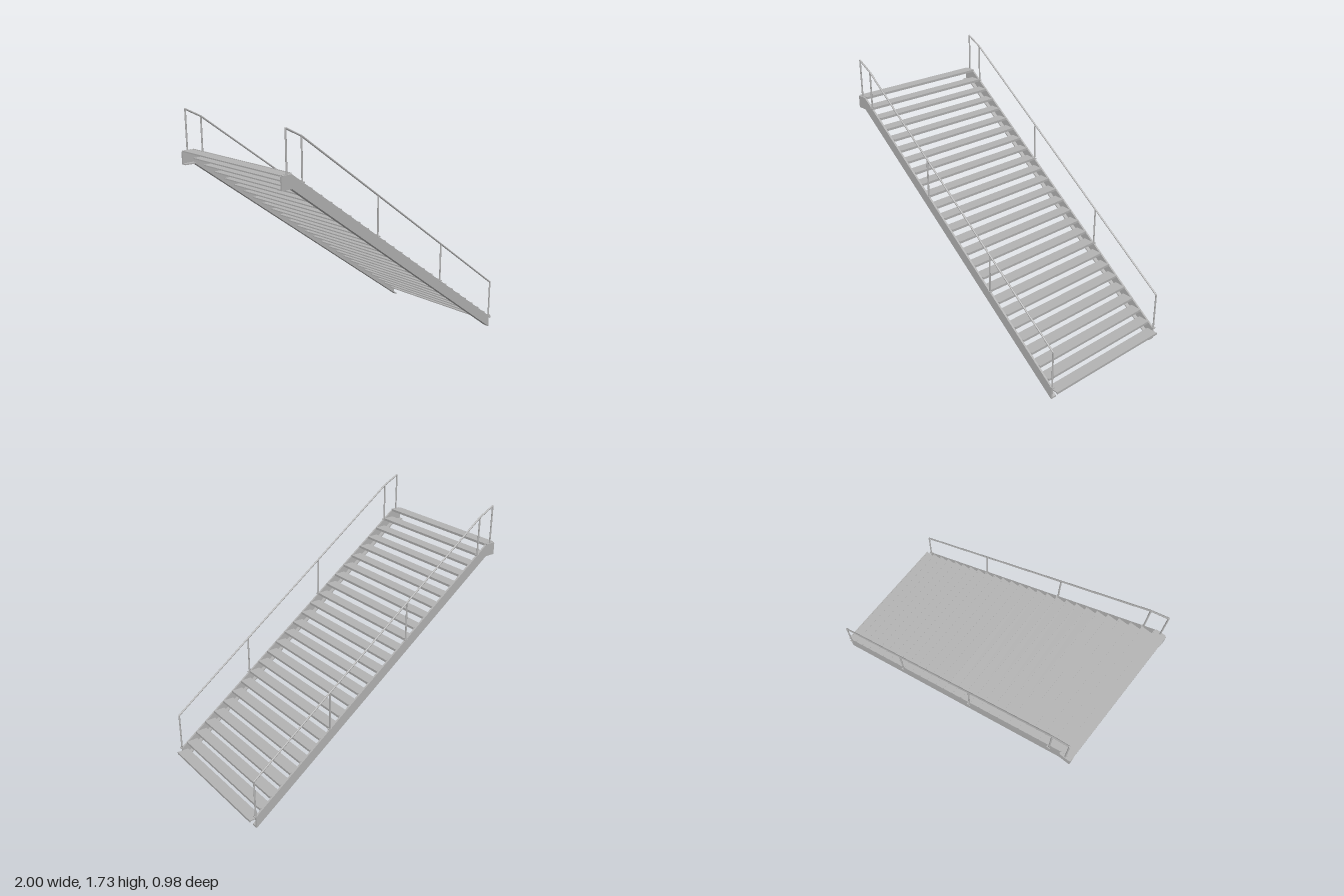
import * as THREE from 'three';

const STEPS = 26, RISE = 0.056, RUN = 0.0767;

export function createModel() {
  const group = new THREE.Group();
  group.name = 'staircase';
  const steel = new THREE.MeshStandardMaterial({ color: 0xb3b3b3 });
  steel.name = 'grey steel';

  const add = (geometry, name, parent = group) => {
    const mesh = new THREE.Mesh(geometry, steel);
    mesh.name = name;
    parent.add(mesh);
    return mesh;
  };

  // Extrude an outline in x and y from z0 to z1
  const plate = (points, z0, z1) => {
    const shape = new THREE.Shape(points.map(([x, y]) => new THREE.Vector2(x, y)));
    return new THREE.ExtrudeGeometry(shape, { depth: z1 - z0, bevelEnabled: false }).translate(0, 0, z0);
  };

  // Round bar between two points
  const bar = (a, b, r, name, parent) => {
    const dir = b.clone().sub(a);
    const mesh = add(new THREE.CylinderGeometry(r, r, dir.length(), 12), name, parent);
    mesh.position.copy(a).add(b).multiplyScalar(0.5);
    mesh.quaternion.setFromUnitVectors(new THREE.Vector3(0, 1, 0), dir.normalize());
  };

  // Open treads with a folded nosing, origin at the nosing edge
  const treadShape = [
    [-0.0825, 0.06], [-0.008, 0.06], [-0.008, 0.054], [0, 0.054],
    [0, 0.07], [-0.008, 0.07], [-0.008, 0.068], [-0.0825, 0.068],
  ];
  const treadGeometry = plate(treadShape, -0.474, 0.474);
  for (let i = 0; i < STEPS; i++) {
    add(treadGeometry, 'tread').position.set(1 - i * RUN, i * RISE, 0);
  }

  // Stringer outlines: upright web and the inward flange along its lower edge
  const web = [[0.96, 0], [0.96, 0.085], [-0.92, 1.46], [-1, 1.46], [-1, 1.38], [-0.927, 1.38]];
  const flange = [[0.96, 0], [0.96, 0.01], [-0.924, 1.388], [-1, 1.388], [-1, 1.38], [-0.927, 1.38]];

  // Handrail posts: x, foot height, rail height, half width of foot plate
  const posts = [
    [0.96, 0.088, 0.35, 0.012],
    [0.382, 0.507, 0.772, 0.012],
    [-0.234, 0.957, 1.221, 0.012],
    [-0.847, 1.405, 1.667, 0.012],
    [-0.96, 1.463, 1.724, 0.034],
  ];

  for (const side of [1, -1]) {
    const assembly = new THREE.Group();
    assembly.name = side > 0 ? 'frontSide' : 'backSide';
    group.add(assembly);

    const span = (a, b) => (side > 0 ? [a, b] : [-b, -a]);
    add(plate(web, ...span(0.474, 0.487)), 'stringerWeb', assembly);
    add(plate(flange, ...span(0.446, 0.474)), 'stringerFlange', assembly);

    const z = side * 0.481;
    const railPoints = posts.map(([x, , top]) => new THREE.Vector3(x, top, z));
    posts.forEach(([x, foot, , half], i) => {
      bar(new THREE.Vector3(x, foot - 0.01, z), railPoints[i], 0.0055, 'post', assembly);
      add(new THREE.BoxGeometry(half * 2, 0.006, 0.02), 'footPlate', assembly).position.set(x, foot, z);
      add(new THREE.SphereGeometry(0.0062, 12, 8), 'railJoint', assembly).position.copy(railPoints[i]);
      if (i > 0) bar(railPoints[i - 1], railPoints[i], 0.006, 'handrail', assembly);
    });
  }
  return group;
}
